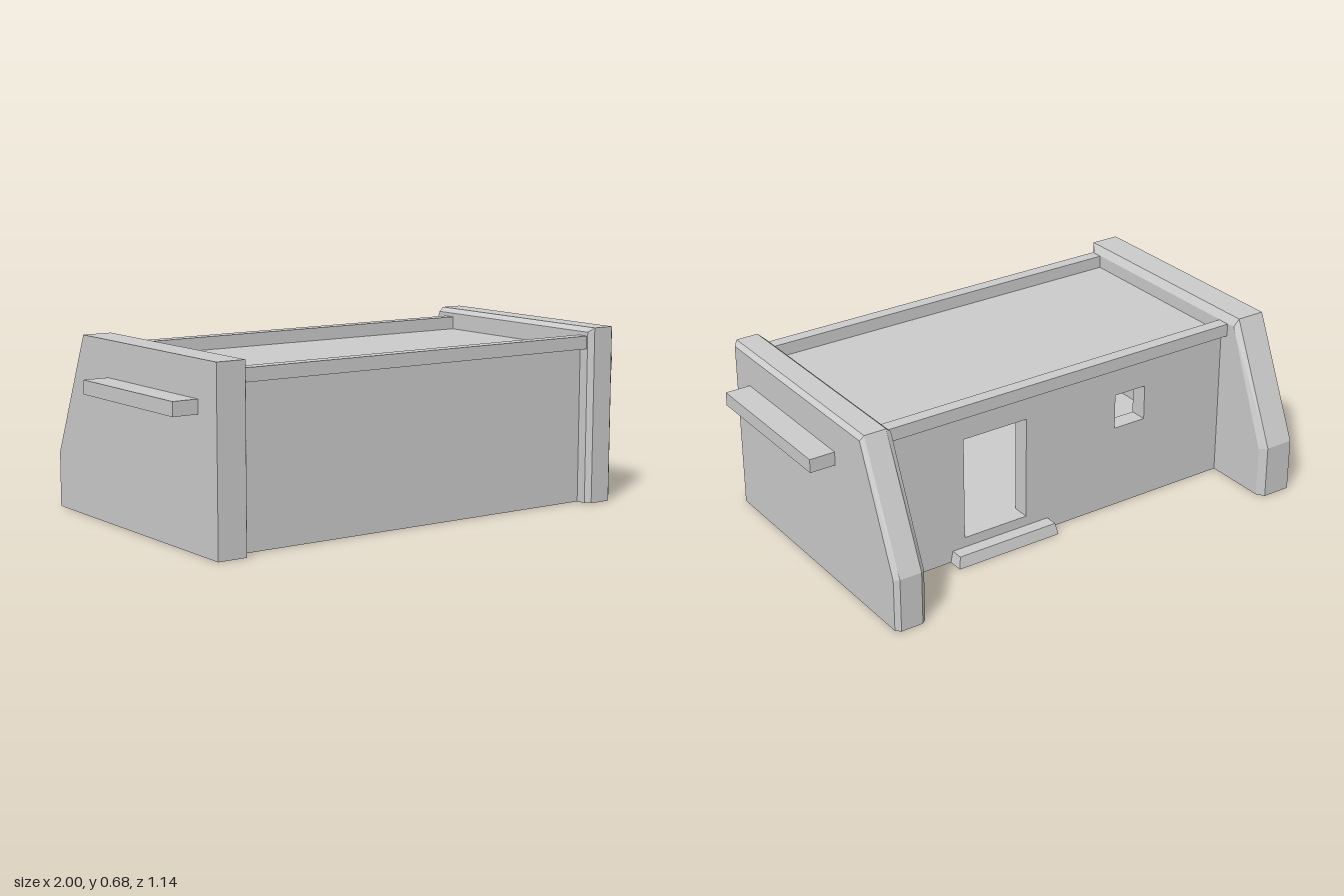
import * as THREE from 'three';

const material = new THREE.MeshStandardMaterial({
  color: 0xcccccc, flatShading: true, side: THREE.DoubleSide,
});

function add(group, name, geometry) {
  const mesh = new THREE.Mesh(geometry, material);
  mesh.name = name;
  group.add(mesh);
  return mesh;
}

// Box given by its minimum and maximum on each axis
function box(group, name, [x0, x1], [y0, y1], [z0, z1]) {
  const mesh = add(group, name, new THREE.BoxGeometry(x1 - x0, y1 - y0, z1 - z0));
  mesh.position.set((x0 + x1) / 2, (y0 + y1) / 2, (z0 + z1) / 2);
}

// End wall outline as [z, y], drawn in by d on all sides but the ground
const outline = (d) => [
  [0.57 - d, 0], [0.57 - d, 0.682 - d], [-0.362 + 0.2 * d, 0.682 - d],
  [-0.57 + d, 0.21 - 0.3 * d], [-0.57 + d, 0],
];

// Joins outlines along x into a shell open at the ground; rings are [x, inset], low to high x
function endWall(rings) {
  const n = 5;
  const positions = [];
  const index = [];
  for (const [x, d] of rings) for (const [z, y] of outline(d)) positions.push(x, y, z);
  for (let r = 0; r < rings.length - 1; r++) {
    for (let i = 0; i < n - 1; i++) {
      const a = r * n + i, b = a + 1;
      index.push(a, a + n, b, b, a + n, b + n);
    }
  }
  const last = (rings.length - 1) * n;
  for (let i = 1; i < n - 1; i++) {
    index.push(0, i, i + 1);
    index.push(last, last + i + 1, last + i);
  }
  const geometry = new THREE.BufferGeometry();
  geometry.setAttribute('position', new THREE.Float32BufferAttribute(positions, 3));
  geometry.setIndex(index);
  const flat = geometry.toNonIndexed();
  flat.computeVertexNormals();
  return flat;
}

function rectangle(Type, x0, x1, y0, y1) {
  const p = new Type();
  p.moveTo(x0, y0);
  p.lineTo(x1, y0);
  p.lineTo(x1, y1);
  p.lineTo(x0, y1);
  p.closePath();
  return p;
}

export function createModel() {
  const group = new THREE.Group();
  group.name = 'bunker';

  // End walls: one with chamfered rims, one flared on its inner side
  add(group, 'leftEndWall', endWall([[0.775, 0.017], [0.795, 0], [0.883, 0], [0.9, 0.017]]));
  add(group, 'rightEndWall', endWall([[-0.9, 0], [-0.785, 0], [-0.765, 0.03]]));

  // Bars on the outer faces of the ends
  for (const [name, x] of [['leftSideBar', [0.9, 1]], ['rightSideBar', [-1, -0.9]]]) {
    box(group, name, x, [0.49, 0.543], [-0.18, 0.45]);
  }

  // Hollow room: thin front wall, raised floor and thick roof
  const span = [-0.765, 0.775];
  const front = add(group, 'frontWall', new THREE.PlaneGeometry(1.54, 0.6));
  front.position.set(0.005, 0.3, 0.512);
  box(group, 'floor', span, [0.065, 0.085], [-0.215, 0.51]);
  box(group, 'roof', span, [0.455, 0.6], [-0.215, 0.51]);

  // Back wall with door and window
  const wall = rectangle(THREE.Shape, ...span, 0, 0.6);
  wall.holes.push(rectangle(THREE.Path, 0.155, 0.43, 0.085, 0.495));
  wall.holes.push(rectangle(THREE.Path, -0.395, -0.255, 0.335, 0.475));
  const wallGeometry = new THREE.ExtrudeGeometry(wall, { depth: 0.07, bevelEnabled: false });
  add(group, 'backWall', wallGeometry).position.z = -0.285;

  // Parapets along the roof edges, overhanging the walls
  const parapet = [-0.775, 0.78];
  box(group, 'frontParapet', parapet, [0.6, 0.65], [0.497, 0.547]);
  box(group, 'backParapet', parapet, [0.6, 0.65], [-0.32, -0.27]);

  // Doorstep, narrowing toward the top
  const step = new THREE.BoxGeometry(0.445, 0.045, 0.06);
  const s = step.attributes.position;
  for (let i = 0; i < s.count; i++) {
    if (s.getY(i) > 0) {
      s.setX(i, s.getX(i) * 0.96);
      if (s.getZ(i) < 0) s.setZ(i, s.getZ(i) + 0.01);
    }
  }
  step.computeVertexNormals();
  add(group, 'doorstep', step).position.set(0.27, 0.0225, -0.315);

  return group;
}
